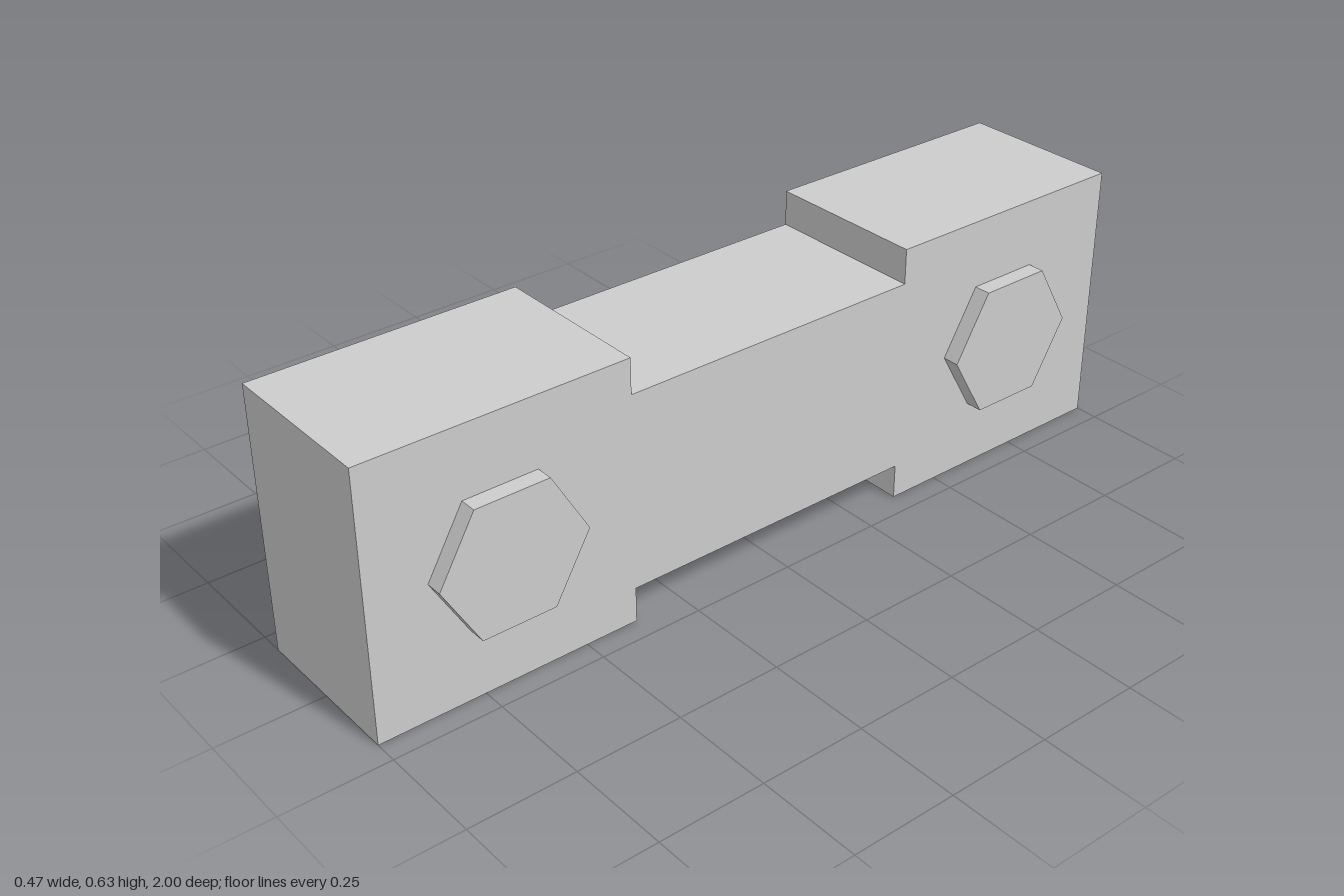
import * as THREE from 'three';

const HALF_WIDTH = 0.195, HEIGHT = 0.63, HALF_LENGTH = 1;
const NOTCH_Z = 0.372, NOTCH_DEPTH = 0.083;
const BOLT_Z = 0.686, BOLT_RADIUS = 0.175, BOLT_OUT = 0.04;

export function createModel() {
  const model = new THREE.Group();
  model.name = 'linkBar';
  const steel = new THREE.MeshStandardMaterial({ color: 0xcccccc, flatShading: true });
  steel.name = 'light grey steel';

  // Bar: side profile with a narrowed middle, extruded across the width
  const top = HEIGHT - NOTCH_DEPTH;
  const profile = new THREE.Shape([
    [-HALF_LENGTH, 0], [-NOTCH_Z, 0], [-NOTCH_Z, NOTCH_DEPTH],
    [NOTCH_Z, NOTCH_DEPTH], [NOTCH_Z, 0], [HALF_LENGTH, 0],
    [HALF_LENGTH, HEIGHT], [NOTCH_Z, HEIGHT], [NOTCH_Z, top],
    [-NOTCH_Z, top], [-NOTCH_Z, HEIGHT], [-HALF_LENGTH, HEIGHT],
  ].map(([z, y]) => new THREE.Vector2(z, y)));
  const barGeometry = new THREE.ExtrudeGeometry(profile, { depth: 2 * HALF_WIDTH, bevelEnabled: false });
  barGeometry.translate(0, 0, -HALF_WIDTH).rotateY(-Math.PI / 2);
  const bar = new THREE.Mesh(barGeometry, steel);
  bar.name = 'bar';
  model.add(bar);

  // Hexagonal bolt heads on both sides of each end, sunk slightly into the bar
  const sunk = 0.01;
  const headGeometry = new THREE.CylinderGeometry(BOLT_RADIUS, BOLT_RADIUS, BOLT_OUT + sunk, 6);
  headGeometry.rotateZ(Math.PI / 2);
  for (const [sideName, side] of [['left', 1], ['right', -1]]) {
    for (const [endName, end] of [['Front', 1], ['Back', -1]]) {
      const head = new THREE.Mesh(headGeometry, steel);
      head.name = `${sideName}${endName}BoltHead`;
      head.position.set(side * (HALF_WIDTH + (BOLT_OUT - sunk) / 2), HEIGHT / 2, end * BOLT_Z);
      model.add(head);
    }
  }
  return model;
}
